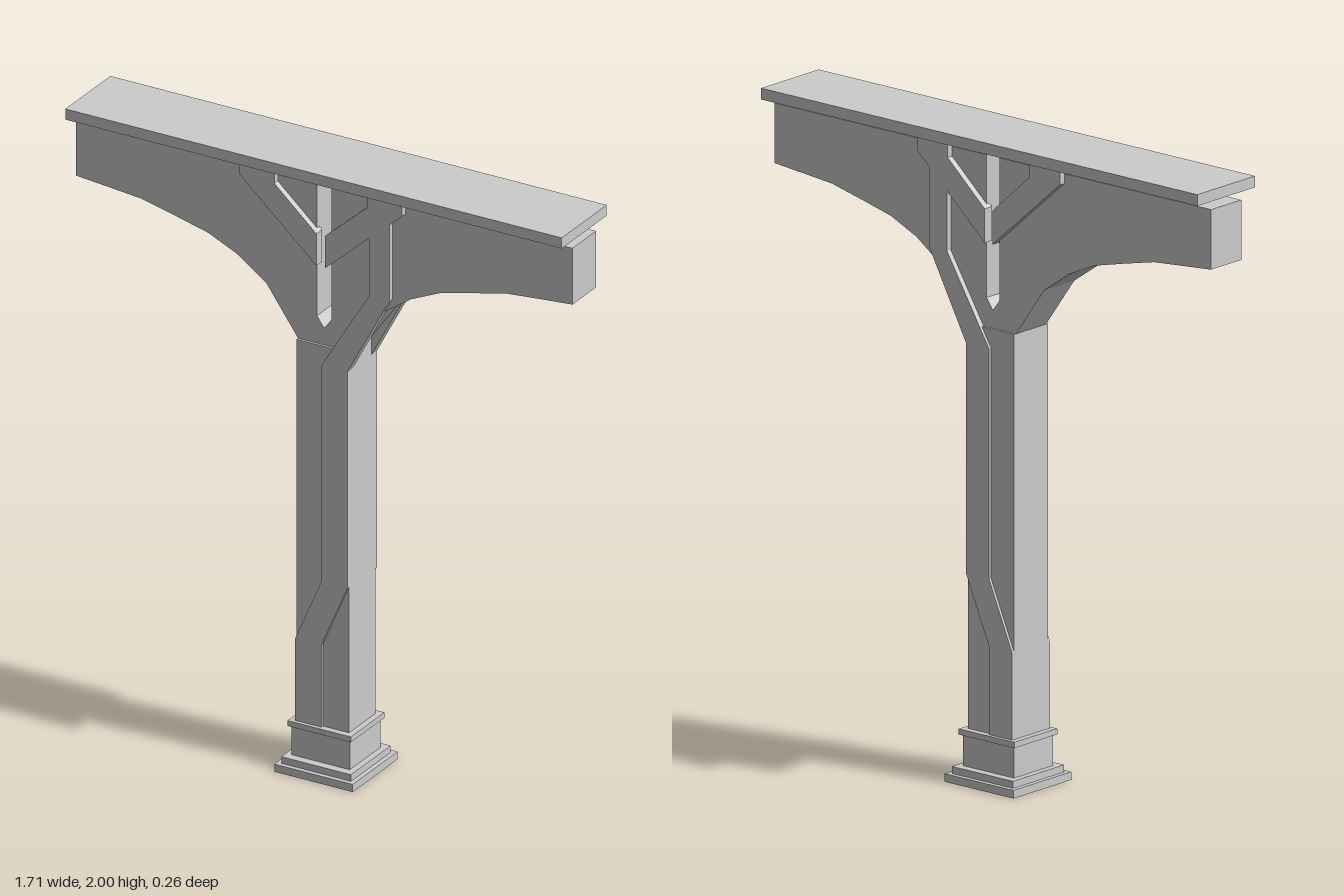
import * as THREE from 'three';

const material = new THREE.MeshStandardMaterial({ color: 0xcccccc, flatShading: true });

// Extrude an x/y outline between two z depths
function slab(name, points, z0, z1) {
  const shape = new THREE.Shape(points.map(([x, y]) => new THREE.Vector2(x, y)));
  const geometry = new THREE.ExtrudeGeometry(shape, { depth: z1 - z0, bevelEnabled: false });
  geometry.translate(0, 0, z0);
  const mesh = new THREE.Mesh(geometry, material);
  mesh.name = name;
  return mesh;
}

// Box given by half width, half depth and its y range
function block(name, halfX, halfZ, y0, y1) {
  const mesh = new THREE.Mesh(new THREE.BoxGeometry(halfX * 2, y1 - y0, halfZ * 2), material);
  mesh.position.y = (y0 + y1) / 2;
  mesh.name = name;
  return mesh;
}

const mirrorX = (points) => points.map(([x, y]) => [-x, y]).reverse();

export function createModel() {
  const group = new THREE.Group();
  group.name = 'bracketedPost';

  // Stepped base and collar
  group.add(
    block('plinth', 0.135, 0.13, 0, 0.025),
    block('plinthStep', 0.12, 0.115, 0.025, 0.047),
    block('baseBlock', 0.1, 0.088, 0.047, 0.143),
    block('collar', 0.109, 0.097, 0.143, 0.161),
  );

  // Post core and top board
  group.add(
    block('postCore', 0.09, 0.076, 0.161, 1.41),
    block('topBoard', 0.855, 0.13, 1.965, 2),
  );

  // Arched beam with a pointed slot down the middle
  const halfBeam = [
    [0, 1.465], [0.025, 1.5], [0.025, 1.94], [0.855, 1.94], [0.855, 1.755],
    [0.74, 1.745], [0.63, 1.735], [0.51, 1.707], [0.4, 1.68], [0.3, 1.635],
    [0.2, 1.565], [0.09, 1.41],
  ];
  group.add(slab('archedBeam', [...halfBeam, ...mirrorX(halfBeam).slice(0, -1)], -0.068, 0.068));

  // Applied strip that jogs up the post and branches into one arm
  const strip = [
    [-0.09, 0.161], [0, 0.161], [0, 0.43], [0.09, 0.64], [0.09, 1.35],
    [0.235, 1.62], [0.235, 1.89], [0.165, 1.83], [0.165, 1.62], [0, 1.35],
    [0, 0.64], [-0.09, 0.43],
  ];
  // Diagonal brace from the slot up to the board
  const brace = [
    [0.015, 1.675], [0.28, 1.91], [0.28, 1.965], [0.16, 1.965], [0.16, 1.91], [0.015, 1.78],
  ];
  for (const [side, z] of [['front', 1], ['back', -1]]) {
    const depths = (inner, outer) => (z > 0 ? [inner, outer] : [-outer, -inner]);
    group.add(
      slab(side + 'Strip', strip, ...depths(0.055, 0.085)),
      slab(side + 'LeftBrace', brace, ...depths(0.055, 0.088)),
      slab(side + 'RightBrace', mirrorX(brace), ...depths(0.055, 0.088)),
    );
  }
  return group;
}
